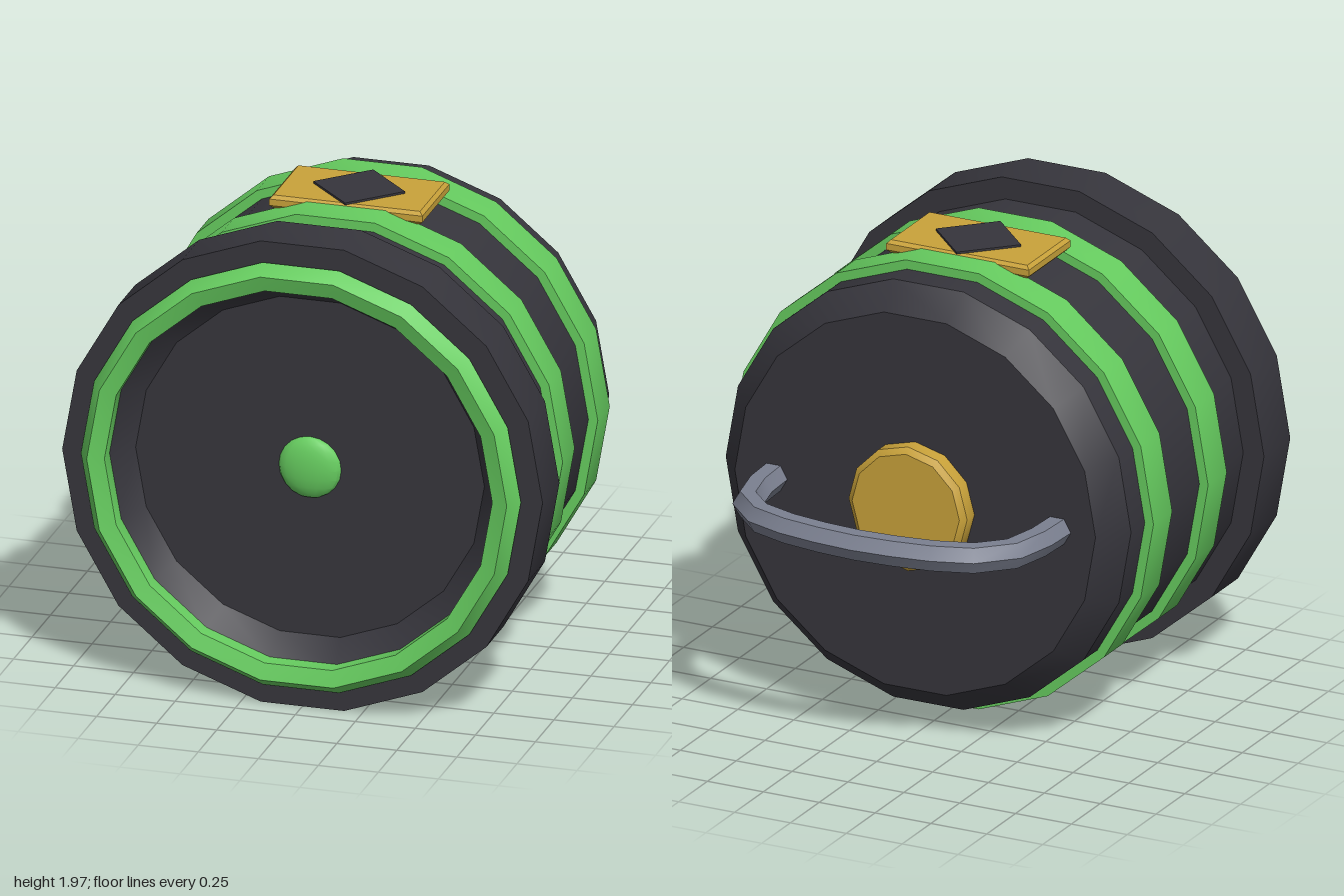
import * as THREE from 'three';
import { toCreasedNormals } from 'three/addons/utils/BufferGeometryUtils.js';

const CY = 0.985; // height of the barrel axis
const mat = (name, color) => Object.assign(new THREE.MeshStandardMaterial({ color }), { name });

export function createModel() {
  const dark = mat('charcoal', 0x36353c);
  const green = mat('green', 0x66cc5f);
  const gold = mat('gold', 0xc9a23a);
  const steel = mat('steel grey', 0x7b8090);

  const model = new THREE.Group();
  model.name = 'barrel';

  const add = (name, geometry, material, x = 0, y = CY, z = 0) => {
    const mesh = new THREE.Mesh(toCreasedNormals(geometry, 0.6), material);
    mesh.name = name;
    mesh.position.set(x, y, z);
    model.add(mesh);
    return mesh;
  };

  // Turned part along z: profile of [radius, z] from back to front
  const turned = (profile, sides = 18) =>
    new THREE.LatheGeometry(profile.map(([r, z]) => new THREE.Vector2(r, z)), sides, Math.PI / 2)
      .rotateX(Math.PI / 2);

  // Barrel body with chamfered back
  add('body', turned([[0, -0.415], [0.807, -0.415], [0.907, -0.3], [0.907, 0.7]]), dark);

  // Wide front collar with a recessed floor
  add('frontCollar', turned([
    [0.88, 0.675], [1, 0.675], [1, 0.903], [0.82, 0.903], [0.726, 0.8], [0, 0.8],
  ]), dark);

  // Green trim ring around the opening
  add('frontRing', new THREE.TorusGeometry(0.856, 0.06, 5, 18), green, 0, CY, 0.923);

  // Domed button in the recess
  add('frontButton', new THREE.SphereGeometry(0.13, 16, 10).scale(1, 1, 0.35), green, 0, CY, 0.8);

  // Two raised hoops
  for (const z of [0.375, -0.1]) {
    add('hoop', turned([
      [0.88, -0.081], [0.946, -0.081], [0.946, 0.081], [0.88, 0.081],
    ]), green, 0, CY, z);
  }

  // Bevelled badge plate on top
  const w = 0.305, d = 0.168, bevel = 0.014;
  const plate = new THREE.Shape([
    new THREE.Vector2(-w, -d), new THREE.Vector2(w, -d),
    new THREE.Vector2(w, d), new THREE.Vector2(-w, d),
  ]);
  add('topPlate', new THREE.ExtrudeGeometry(plate, {
    depth: 0.027, bevelThickness: bevel, bevelSize: bevel, bevelSegments: 1,
  }).rotateX(-Math.PI / 2), gold, 0, 1.885, 0.135);

  // Diamond inlay on the plate
  add('diamond', new THREE.BoxGeometry(0.27, 0.009, 0.27).rotateY(Math.PI / 4),
    dark, 0, 1.9305, 0.135);

  // Round boss at the back
  add('backBoss', turned([
    [0, -0.497], [0.24, -0.497], [0.265, -0.478], [0.265, -0.4],
  ], 12), gold);

  // Hexagonal carrying handle
  const half = [[0.635, -0.4], [0.615, -0.65], [0.55, -0.785], [0.395, -0.865], [0.195, -0.905]];
  const points = [...half, [0, -0.92], ...half.map(([x, z]) => [-x, z]).reverse()];
  const path = new THREE.CatmullRomCurve3(points.map(([x, z]) => new THREE.Vector3(x, 0, z)));
  const hexagon = new THREE.Shape(Array.from({ length: 6 }, (_, i) => {
    const a = Math.PI / 2 + i * Math.PI / 3;
    return new THREE.Vector2(Math.cos(a) * 0.062, Math.sin(a) * 0.062);
  }));
  add('handle', new THREE.ExtrudeGeometry(hexagon, { steps: 12, extrudePath: path }), steel);

  return model;
}
